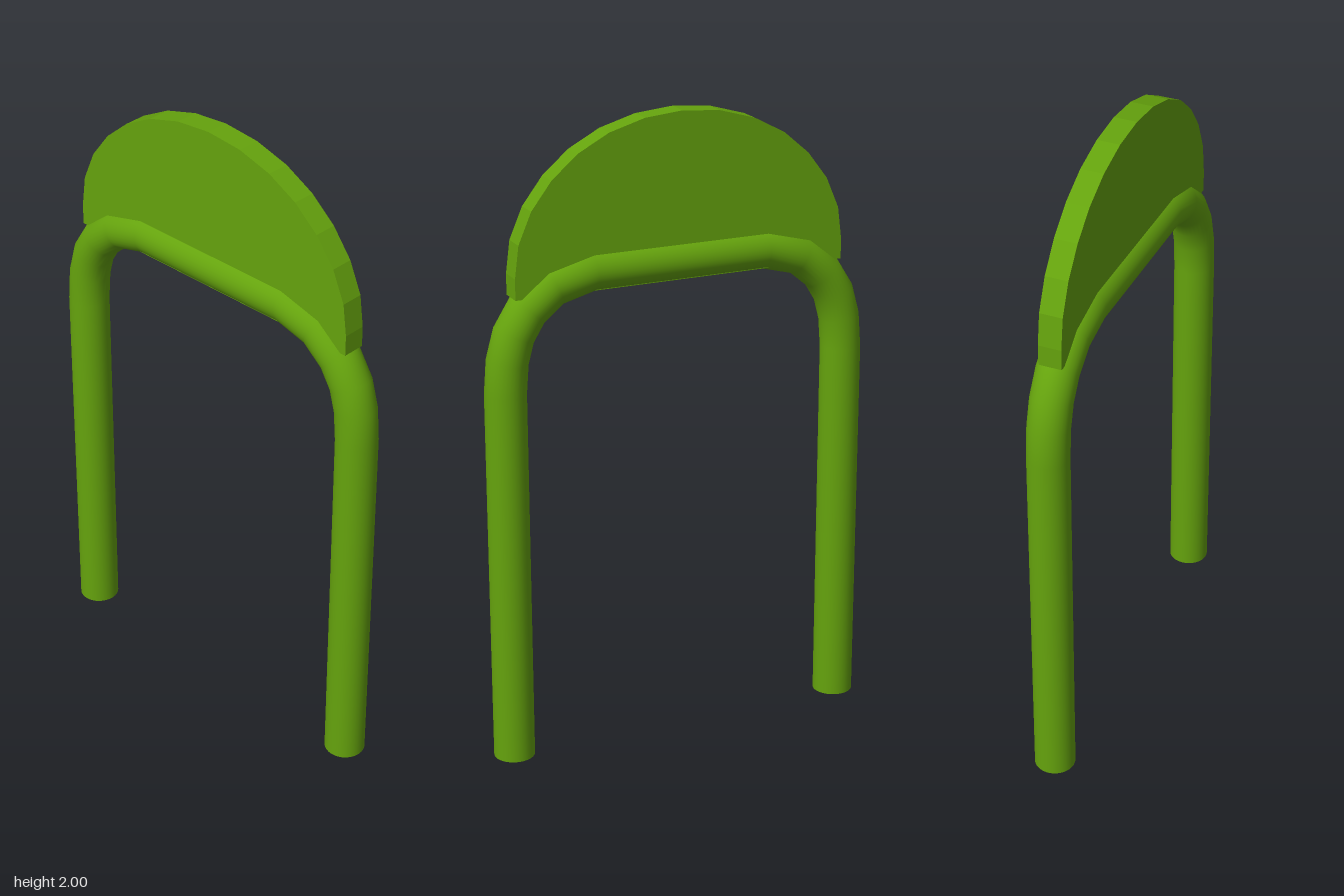
import * as THREE from 'three';

// Curve that passes straight through its points, one tube ring per point
class BentPath extends THREE.Curve {
  constructor(points) {
    super();
    this.points = points;
  }
  getUtoTmapping(u) {
    return u;
  }
  getPoint(t, target = new THREE.Vector3()) {
    const n = this.points.length - 1;
    const i = Math.min(Math.floor(t * n + 1e-9), n - 1);
    return target.lerpVectors(this.points[i], this.points[i + 1], t * n - i);
  }
}

export function createModel() {
  const model = new THREE.Group();
  const green = new THREE.MeshStandardMaterial({ color: 0x65a30d, side: THREE.DoubleSide });
  green.name = 'leaf green';

  // Bent tube: two legs joined by a top bar, open at the feet
  const half = [
    [0.565, 0], [0.565, 1.19], [0.557, 1.29], [0.535, 1.37],
    [0.49, 1.442], [0.41, 1.507], [0.285, 1.54],
  ];
  const points = [
    ...half.map(([x, y]) => new THREE.Vector3(-x, y, 0)),
    ...half.slice().reverse().map(([x, y]) => new THREE.Vector3(x, y, 0)),
  ];
  const frame = new THREE.Mesh(
    new THREE.TubeGeometry(new BentPath(points), points.length - 1, 0.064, 32), green);
  frame.name = 'tubeFrame';
  model.add(frame);

  // Domed plate standing on the top bar
  const edge = [
    [0.54, 1.485], [0.54, 1.55], [0.527, 1.65], [0.485, 1.747], [0.42, 1.832],
    [0.337, 1.903], [0.237, 1.956], [0.122, 1.989],
  ];
  const outline = [
    ...edge, [0, 2],
    ...edge.slice().reverse().map(([x, y]) => [-x, y]),
  ].map(([x, y]) => new THREE.Vector2(x, y));
  const plateGeometry = new THREE.ExtrudeGeometry(new THREE.Shape(outline), {
    depth: 0.072, bevelEnabled: false,
  });
  plateGeometry.translate(0, 0, -0.036);
  const plate = new THREE.Mesh(plateGeometry, green);
  plate.name = 'domedPlate';
  model.add(plate);

  return model;
}
